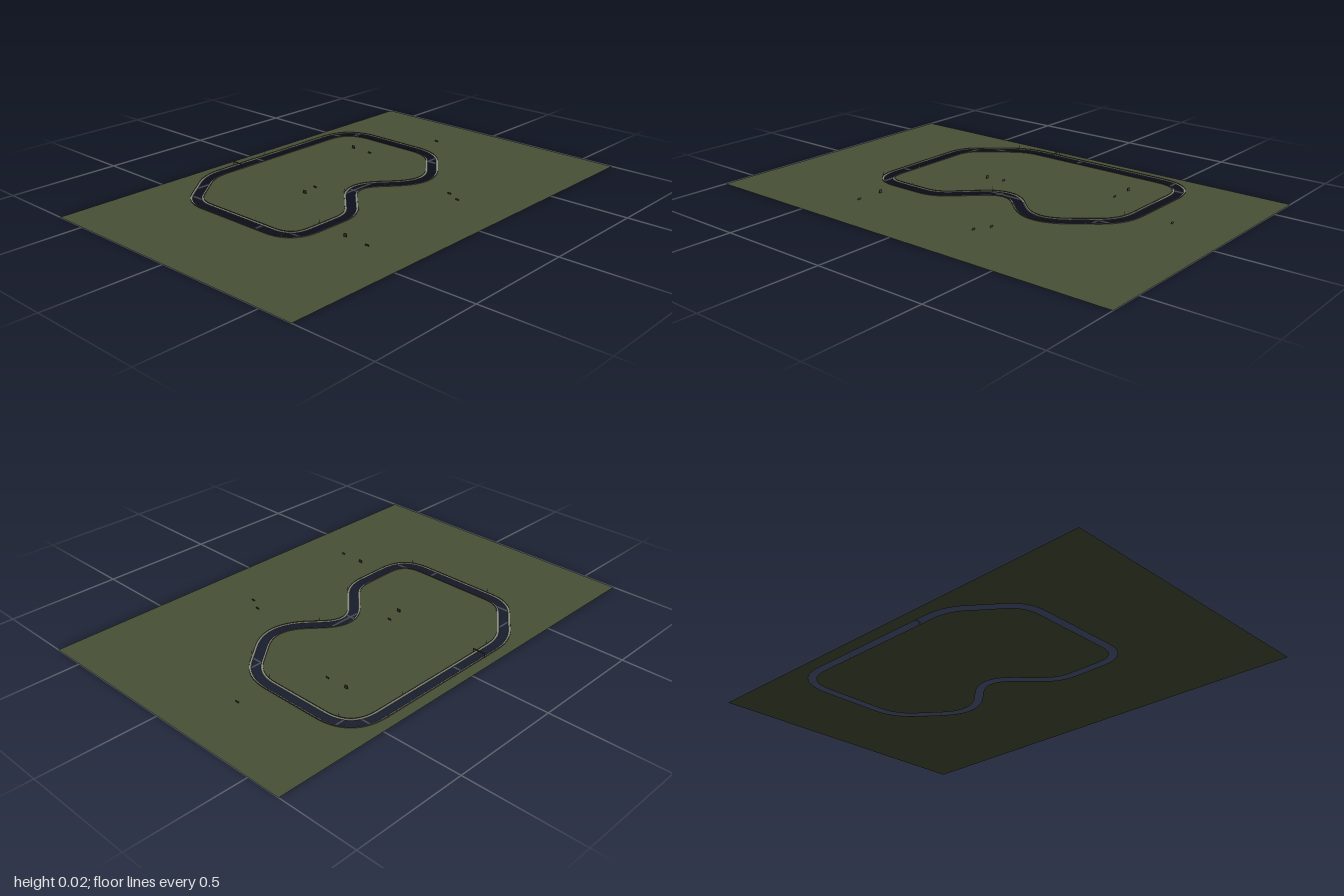
import * as THREE from 'three';

const mat = (name, color) => new THREE.MeshStandardMaterial({ name, color, side: THREE.DoubleSide });

export function createModel() {
  const model = new THREE.Group();
  const grass = mat('grass green', 0x485036);
  const kerbGrey = mat('kerb grey', 0x8c8c8a);
  const wallGrey = mat('wall grey', 0x4a4744);
  const boardBrown = mat('board brown', 0x453f37);

  const add = (name, geometry, material, x = 0, y = 0, z = 0) => {
    const mesh = new THREE.Mesh(geometry, material);
    mesh.name = name;
    mesh.position.set(x, y, z);
    model.add(mesh);
    return mesh;
  };

  // Centre line of the circuit: corner x, corner z, length cut off by the bend
  const corners = [
    [-0.575, -0.585, 0.16], [-0.045, -0.585, 0.1], [0.185, -0.293, 0.16], [-0.05, -0.03, 0.13],
    [0.18, 0.206, 0.07], [0.18, 0.54, 0.12], [-0.39, 0.54, 0.08], [-0.575, 0.3, 0.08],
  ].map(([x, z, cut]) => ({ p: new THREE.Vector2(x, z), cut }));

  const line = [];
  corners.forEach(({ p, cut }, i) => {
    const n = corners.length;
    const toward = (q) => q.clone().sub(p).setLength(cut).add(p);
    const a = toward(corners[(i + n - 1) % n].p);
    const b = toward(corners[(i + 1) % n].p);
    line.push(...new THREE.QuadraticBezierCurve(a, p, b).getPoints(14));
  });

  // Closed path shifted sideways; positive is outward
  const offset = (d) => line.map((p, i) => {
    const t = line[(i + 1) % line.length].clone().sub(line[(i + line.length - 1) % line.length]).normalize();
    return new THREE.Vector2(p.x + t.y * d, p.y - t.x * d);
  });

  // Strip joining two shifted paths
  const ribbon = (dA, yA, dB, yB) => {
    const a = offset(dA), b = offset(dB), pos = [], index = [], n = line.length;
    for (let i = 0; i < n; i++) {
      pos.push(a[i].x, yA, a[i].y, b[i].x, yB, b[i].y);
      const j = (i + 1) % n;
      index.push(2 * i, 2 * i + 1, 2 * j, 2 * i + 1, 2 * j + 1, 2 * j);
    }
    const g = new THREE.BufferGeometry();
    g.setAttribute('position', new THREE.Float32BufferAttribute(pos, 3));
    g.setIndex(index);
    g.computeVertexNormals();
    return g;
  };

  // Ground around and inside the open road bed
  const half = 0.017, edge = 0.027;
  const flip = (pts) => pts.map((p) => new THREE.Vector2(p.x, -p.y));
  const outer = new THREE.Shape([[-0.65, -1], [0.65, -1], [0.65, 1], [-0.65, 1]].map((c) => new THREE.Vector2(...c)));
  outer.holes.push(new THREE.Path(flip(offset(half))));
  const inner = new THREE.Shape(flip(offset(-half)));
  add('outerGround', new THREE.ShapeGeometry(outer).rotateX(-Math.PI / 2), grass);
  add('innerGround', new THREE.ShapeGeometry(inner).rotateX(-Math.PI / 2), grass);

  // Kerbs and low walls on both sides
  for (const s of [1, -1]) {
    add('kerb', s > 0 ? ribbon(edge, 0.002, half + 0.004, 0.002) : ribbon(-half - 0.004, 0.002, -edge, 0.002), kerbGrey);
    add('wall', ribbon(s * edge, 0, s * edge, 0.005), wallGrey);
  }

  // Thin posts spaced along both walls
  const ringLength = new THREE.CatmullRomCurve3(line.map((p) => new THREE.Vector3(p.x, 0, p.y)), true, 'centripetal');
  for (let i = 0; i < 18; i++) {
    const p = ringLength.getPointAt(i / 18), t = ringLength.getTangentAt(i / 18);
    const d = (i % 2 ? -1 : 1) * (edge + 0.002);
    add('post', new THREE.BoxGeometry(0.001, 0.02, 0.001), kerbGrey, p.x + t.z * d, 0.01, p.z - t.x * d);
  }

  // Start gantry
  for (const s of [1, -1]) add('gantryPost', new THREE.BoxGeometry(0.002, 0.02, 0.002), wallGrey, -0.575 + s * 0.028, 0.01, 0.135);
  add('gantryBeam', new THREE.BoxGeometry(0.058, 0.004, 0.004), wallGrey, -0.575, 0.02, 0.135);

  // Trackside signs: three tall, six low
  for (const [x, z] of [[-0.368, -0.4], [-0.12, 0.17], [0.315, 0.39]])
    add('tallSign', new THREE.BoxGeometry(0.015, 0.013, 0.004), boardBrown, x, 0.0105, z);
  for (const [x, z] of [[-0.267, -0.4], [-0.138, 0.092], [0.43, 0.397], [0.328, -0.23], [0.395, -0.195], [-0.145, -0.745]])
    add('lowSign', new THREE.BoxGeometry(0.016, 0.007, 0.002), boardBrown, x, 0.0065, z);

  return model;
}
